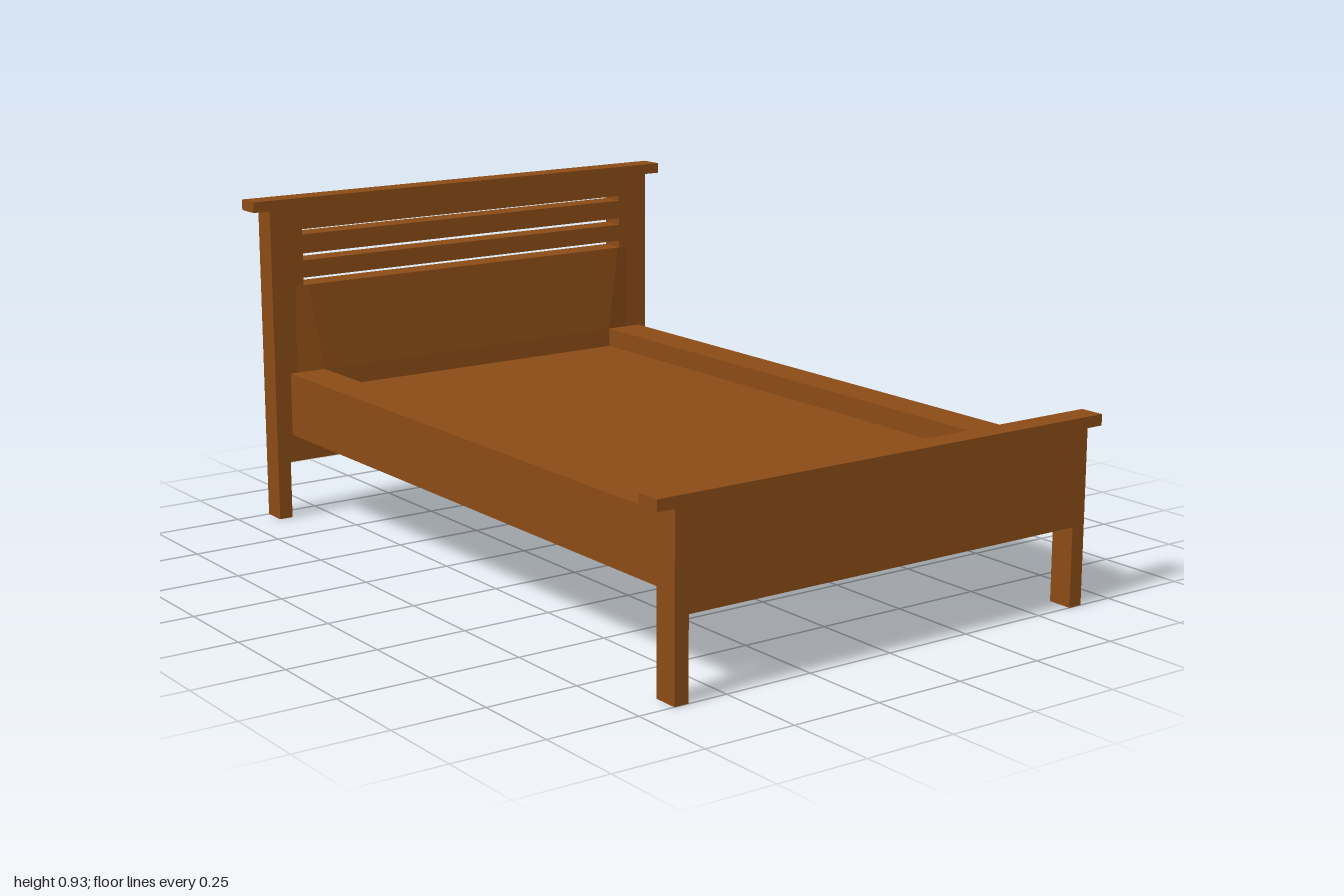
import * as THREE from 'three';
import { ConvexGeometry } from 'three/addons/geometries/ConvexGeometry.js';

const wood = new THREE.MeshStandardMaterial({ color: 0x8a4b16, flatShading: true });

function add(parent, name, geometry, x = 0, y = 0, z = 0) {
  const mesh = new THREE.Mesh(geometry, wood);
  mesh.name = name;
  mesh.position.set(x, y, z);
  parent.add(mesh);
  return mesh;
}

const points = (list) => list.map(([x, y]) => new THREE.Vector2(x, y));

// Extrudes an outline in (z, y) along x, starting at x = start.
function extrudeAlongX(shape, start, length) {
  const g = new THREE.ExtrudeGeometry(shape, { depth: length, bevelEnabled: false });
  g.rotateY(Math.PI / 2);
  g.translate(start, 0, 0);
  return g;
}

// End board with two legs, a top cap and optional horizontal slots.
function endBoard(name, start, top, panelBottom, slots) {
  const group = new THREE.Group();
  group.name = name;
  const outer = 0.65, inner = 0.61;
  const shape = new THREE.Shape(points([
    [-outer, 0], [-inner, 0], [-inner, panelBottom], [inner, panelBottom],
    [inner, 0], [outer, 0], [outer, top], [-outer, top],
  ]));
  for (const [low, high] of slots) {
    shape.holes.push(new THREE.Path(points([[-0.55, low], [-0.55, high], [0.55, high], [0.55, low]])));
  }
  add(group, name + 'Panel', extrudeAlongX(shape, start, 0.07));
  add(group, name + 'Cap', new THREE.BoxGeometry(0.07, 0.03, 1.4), start + 0.035, top + 0.015, 0);
  return group;
}

// Shallow sloped pad between an end board and the bed frame.
function slopedPad(side, topY, topX) {
  const list = [];
  for (const s of [-1, 1]) {
    for (const [x, y, z] of [
      [0.935, 0.22, 0.6], [0.935, topY, 0.6], [topX, topY, 0.54],
      [0.912, 0.25, 0.5], [0.912, 0.43, 0.5],
    ]) list.push(new THREE.Vector3(side * x, y, s * z));
  }
  return new ConvexGeometry(list);
}

export function createModel() {
  const bed = new THREE.Group();
  bed.name = 'bed';

  // End boards
  bed.add(endBoard('headboard', -1, 0.9, 0.165, [[0.68, 0.7], [0.75, 0.77], [0.825, 0.84]]));
  bed.add(endBoard('footboard', 0.93, 0.47, 0.215, []));
  add(bed, 'headPad', slopedPad(-1, 0.68, 0.922));
  add(bed, 'footPad', slopedPad(1, 0.465, 0.93));

  // Side rails
  for (const s of [-1, 1]) {
    add(bed, s > 0 ? 'frontRail' : 'backRail', new THREE.BoxGeometry(1.824, 0.18, 0.11), 0, 0.34, s * 0.555);
  }

  // Mattress deck with chamfered underside
  const deck = new THREE.Shape(points([
    [-0.39, 0.197], [0.39, 0.197], [0.47, 0.237], [0.5, 0.25],
    [0.5, 0.375], [-0.5, 0.375], [-0.5, 0.25], [-0.47, 0.237],
  ]));
  add(bed, 'deck', extrudeAlongX(deck, -0.912, 1.824));

  return bed;
}
